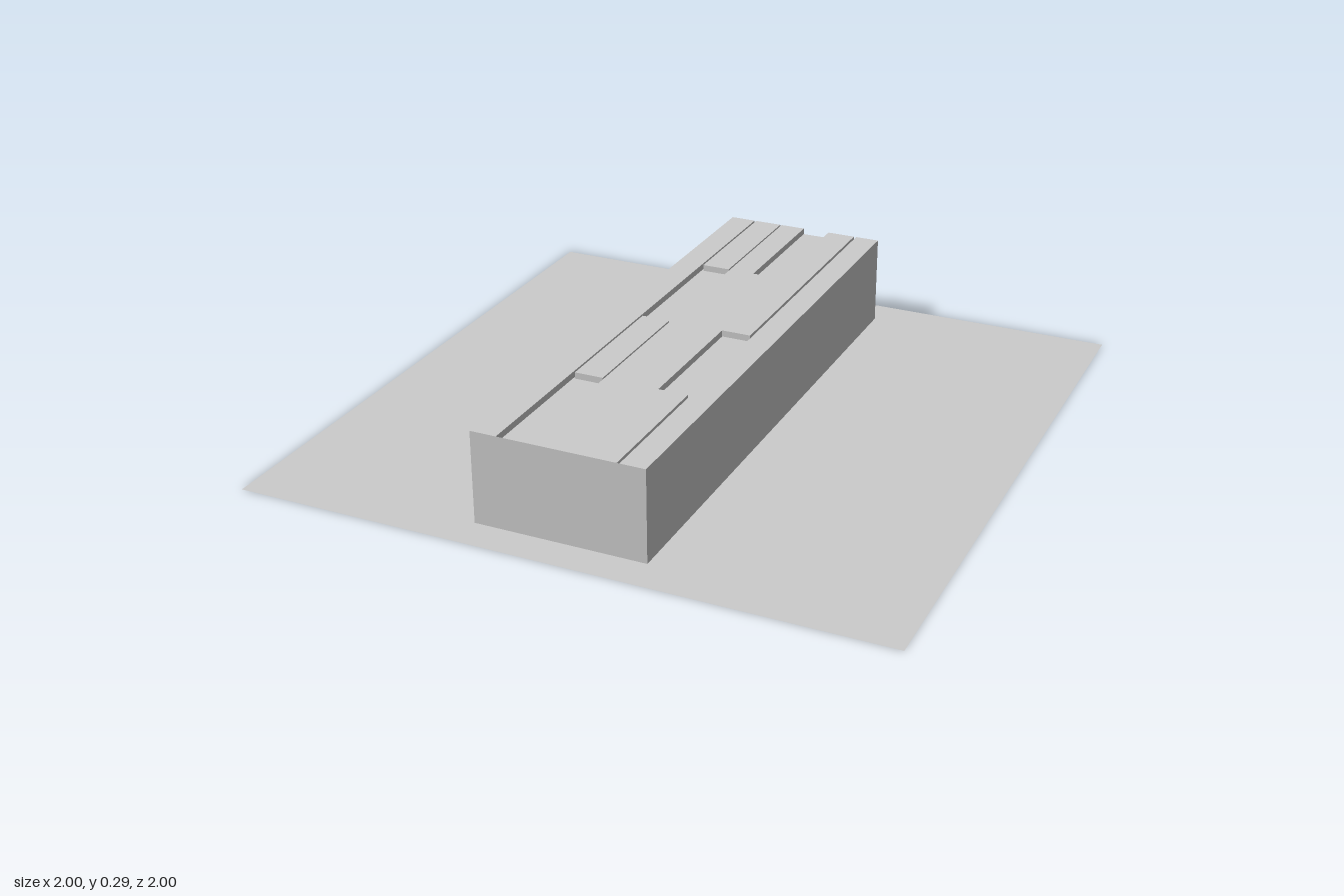
import * as THREE from 'three';

const material = new THREE.MeshStandardMaterial({ color: 0xcccccc, side: THREE.DoubleSide, flatShading: true });
const TOP = 0.287, DEPTH = 0.02, LEFT = 0.238, RIGHT = -0.295, END = 0.89;

// Flat sheet, turned and placed
function sheet(name, w, h, pos, rx, ry) {
  const mesh = new THREE.Mesh(new THREE.PlaneGeometry(w, h), material);
  mesh.name = name;
  mesh.rotation.set(rx, ry, 0);
  mesh.position.set(...pos);
  return mesh;
}

// Thin roof: a grid of level cells joined by vertical steps
function roofGeometry() {
  const xs = [RIGHT, -0.213, -0.207, -0.117, -0.112, -0.03, 0.06, 0.152, 0.16, LEFT];
  const zs = [-END, -0.45, 0, 0.445, END];
  // One string per row from back to front; 1 marks a sunken cell
  const sunken = ['010101010', '011100010', '010100110', '011100010'];
  const level = (i, j) => TOP - DEPTH * Number(sunken[j][i]);
  const points = [];
  const quad = (a, b, c, d) => points.push(...a, ...b, ...c, ...a, ...c, ...d);

  for (let j = 0; j < zs.length - 1; j++) {
    for (let i = 0; i < xs.length - 1; i++) {
      const [x0, x1, z0, z1, y] = [xs[i], xs[i + 1], zs[j], zs[j + 1], level(i, j)];
      quad([x0, y, z0], [x0, y, z1], [x1, y, z1], [x1, y, z0]);
      // Step to the next column
      if (i < xs.length - 2 && level(i + 1, j) !== y) {
        const n = level(i + 1, j);
        quad([x1, y, z0], [x1, y, z1], [x1, n, z1], [x1, n, z0]);
      }
      // Step to the next row
      if (j < zs.length - 2 && level(i, j + 1) !== y) {
        const n = level(i, j + 1);
        quad([x0, y, z1], [x0, n, z1], [x1, n, z1], [x1, y, z1]);
      }
    }
  }
  const geometry = new THREE.BufferGeometry();
  geometry.setAttribute('position', new THREE.Float32BufferAttribute(points, 3));
  geometry.computeVertexNormals();
  return geometry;
}

export function createModel() {
  const group = new THREE.Group();
  group.name = 'groovedHall';

  // Base sheet
  group.add(sheet('base', 2, 2, [0, 0, 0], -Math.PI / 2, 0));

  // Side walls and closed front; the back stays open
  group.add(sheet('leftWall', 2 * END, TOP, [LEFT, TOP / 2, 0], 0, Math.PI / 2));
  group.add(sheet('rightWall', 2 * END, TOP, [RIGHT, TOP / 2, 0], 0, -Math.PI / 2));
  group.add(sheet('frontWall', LEFT - RIGHT, TOP, [(LEFT + RIGHT) / 2, TOP / 2, END], 0, 0));

  // Roof with slits, channel and pockets
  const roof = new THREE.Mesh(roofGeometry(), material);
  roof.name = 'groovedRoof';
  group.add(roof);
  return group;
}
